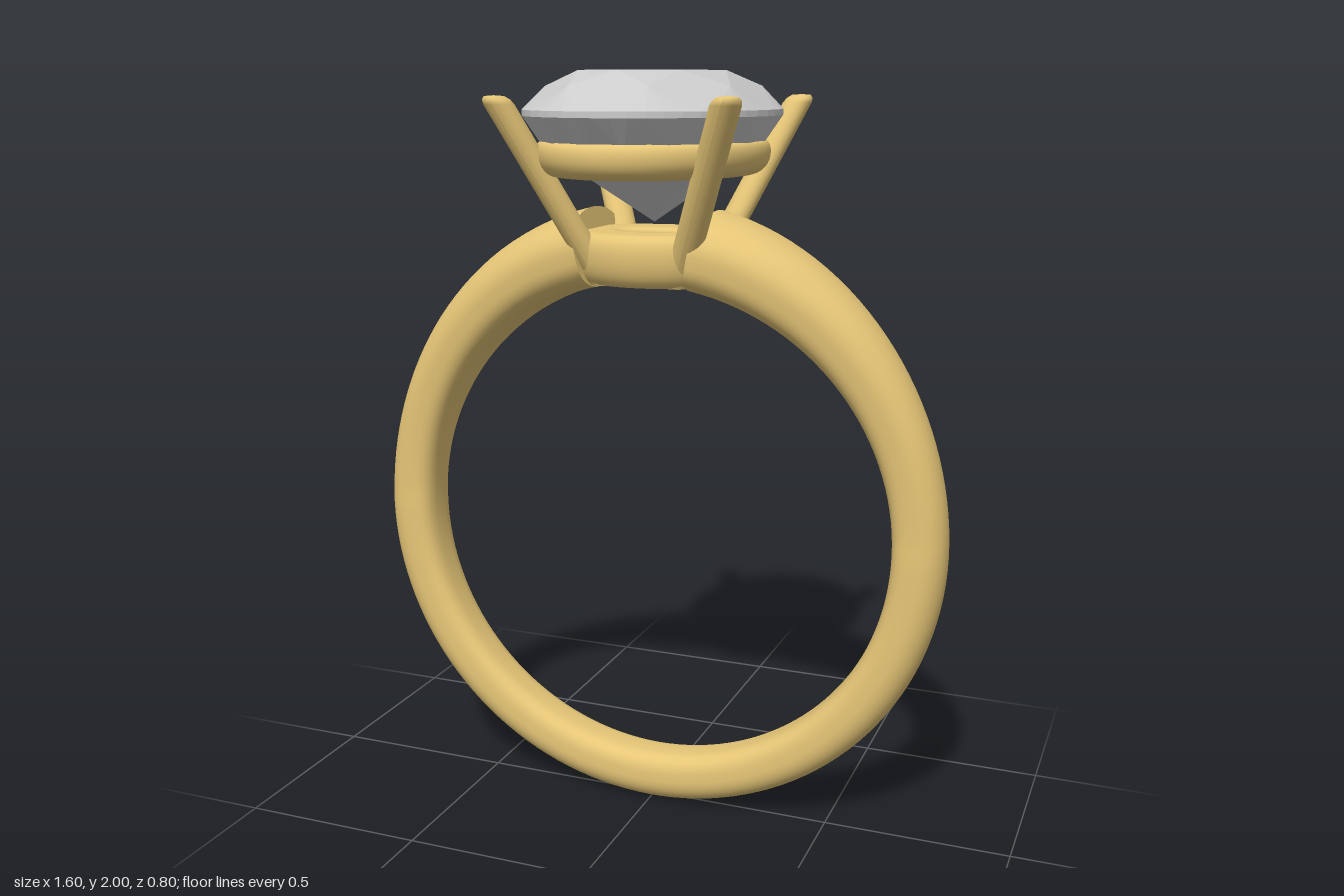
import * as THREE from 'three';
import { ConvexGeometry } from 'three/addons/geometries/ConvexGeometry.js';

const gold = new THREE.MeshStandardMaterial({ color: 0xe6c677 });
const grey = new THREE.MeshStandardMaterial({ color: 0xcccccc, flatShading: true });

function add(group, name, geometry, material = gold) {
  const mesh = new THREE.Mesh(geometry, material);
  mesh.name = name;
  group.add(mesh);
  return mesh;
}

// Band: a rounded section swept round the finger, swelling towards the setting.
function bandGeometry() {
  const cy = 0.805, inner = 0.66, start = 0.2, steps = 128, sides = 40;
  const pos = [], index = [];
  const power = (v, e) => Math.sign(v) * Math.abs(v) ** e;
  const section = (phi) => {
    const c = Math.max(0, Math.cos(phi));
    const half = (0.14 + 0.07 * c ** 2.5) / 2;
    const mid = inner + half;
    const x = Math.abs(mid * Math.sin(phi));
    const width = Math.cos(phi) > 0 ? 0.2 - 0.17 * x : 0.078 - 0.008 * -Math.cos(phi);
    const ring = [];
    for (let j = 0; j < sides; j++) {
      const a = (j / sides) * Math.PI * 2;
      const e = Math.cos(a) > 0 ? 0.95 : 0.65; // flatter against the finger
      const r = mid + half * power(Math.cos(a), e);
      ring.push([r * Math.sin(phi), cy + r * Math.cos(phi), width * power(Math.sin(a), e)]);
    }
    return ring;
  };
  for (let i = 0; i <= steps; i++) {
    const phi = start + (i / steps) * (Math.PI * 2 - start * 2);
    section(phi).forEach((p) => pos.push(...p));
  }
  for (let i = 0; i < steps; i++) {
    for (let j = 0; j < sides; j++) {
      const k = (j + 1) % sides;
      const a = i * sides + j, b = i * sides + k, c = a + sides, d = b + sides;
      index.push(a, b, c, b, d, c);
    }
  }
  // Flat ends with their own vertices.
  for (const end of [0, 1]) {
    const base = pos.length / 3;
    section(end ? Math.PI * 2 - start : start).forEach((p) => pos.push(...p));
    for (let j = 1; j < sides - 1; j++) {
      if (end) index.push(base, base + j, base + j + 1);
      else index.push(base, base + j + 1, base + j);
    }
  }
  const g = new THREE.BufferGeometry();
  g.setAttribute('position', new THREE.Float32BufferAttribute(pos, 3));
  g.setIndex(index);
  g.computeVertexNormals();
  return g;
}

// Oval ring: a closed cross-section of [inset, y] points following an ellipse.
function ovalRing(rx, rz, thickness, y0, y1, lowerRound) {
  const shape = new THREE.Shape();
  const h = y1 - y0, t = thickness;
  shape.moveTo(t, y0 + h * 0.12);
  shape.quadraticCurveTo(t, y0, t * 0.75, y0);
  shape.lineTo(t * lowerRound, y0);
  shape.bezierCurveTo(t * lowerRound * 0.4, y0, 0, y0 + h * 0.3, 0, y0 + h * 0.62);
  shape.quadraticCurveTo(0, y1, t * 0.3, y1);
  shape.lineTo(t * 0.75, y1);
  shape.quadraticCurveTo(t, y1, t, y1 - h * 0.12);
  shape.closePath();
  const profile = shape.getPoints(8);
  const n = profile.length, sides = 72, pos = [], index = [];
  for (let i = 0; i < sides; i++) {
    const a = (i / sides) * Math.PI * 2;
    for (const p of profile) pos.push((rx - p.x) * Math.cos(a), p.y, (rz - p.x) * Math.sin(a));
  }
  for (let i = 0; i < sides; i++) {
    for (let j = 0; j < n - 1; j++) {
      const a = i * n + j, c = ((i + 1) % sides) * n + j;
      index.push(a, a + 1, c, a + 1, c + 1, c);
    }
  }
  const g = new THREE.BufferGeometry();
  g.setAttribute('position', new THREE.Float32BufferAttribute(pos, 3));
  g.setIndex(index);
  g.computeVertexNormals();
  return g;
}

// Oval brilliant cut, hulled from rings of facet corners.
function gemGeometry() {
  const points = [new THREE.Vector3(0, 1.62, 0)];
  const ring = (count, scale, y, turn = 0) => {
    for (let i = 0; i < count; i++) {
      const a = ((i + turn) / count) * Math.PI * 2;
      points.push(new THREE.Vector3(0.32 * scale * Math.cos(a), y, 0.4 * scale * Math.sin(a)));
    }
  };
  ring(8, 0.6, 2.0);
  ring(8, 0.83, 1.962, 0.5);
  ring(48, 1, 1.905);
  ring(48, 1, 1.89);
  ring(16, 0.83, 1.805, 0.5);
  return new ConvexGeometry(points);
}

// Prong: an upright rod with a domed tip, sheared outwards so its foot stays level.
function prongGeometry(sx, sz) {
  const r = 0.038, y0 = 1.465, y1 = 1.94;
  const profile = [[0, y0], [r, y0], [r, y0], [r, y1 - 0.022], [r * 0.9, y1 - 0.01], [r * 0.65, y1 - 0.002], [0, y1]];
  const g = new THREE.LatheGeometry(profile.map((p) => new THREE.Vector2(...p)), 24);
  const p = g.attributes.position;
  for (let i = 0; i < p.count; i++) {
    const t = (p.getY(i) - y0) / (y1 - y0);
    p.setX(i, p.getX(i) + sx * (0.1 + 0.2 * t));
    p.setZ(i, p.getZ(i) + sz * (0.095 + 0.21 * t));
  }
  g.computeVertexNormals();
  return g;
}

export function createModel() {
  const model = new THREE.Group();
  model.name = 'ring';
  add(model, 'band', bandGeometry());

  // Setting: base collar, upper gallery and four prongs
  const setting = new THREE.Group();
  setting.name = 'setting';
  model.add(setting);
  add(setting, 'baseCollar', ovalRing(0.23, 0.19, 0.13, 1.465, 1.6, 0.35));
  add(setting, 'galleryRing', ovalRing(0.29, 0.365, 0.085, 1.742, 1.83, 0.6));
  for (const sx of [-1, 1]) {
    for (const sz of [-1, 1]) {
      add(setting, `${sz > 0 ? 'front' : 'back'}${sx > 0 ? 'Left' : 'Right'}Prong`, prongGeometry(sx, sz));
    }
  }

  add(model, 'gemstone', gemGeometry(), grey);
  return model;
}
